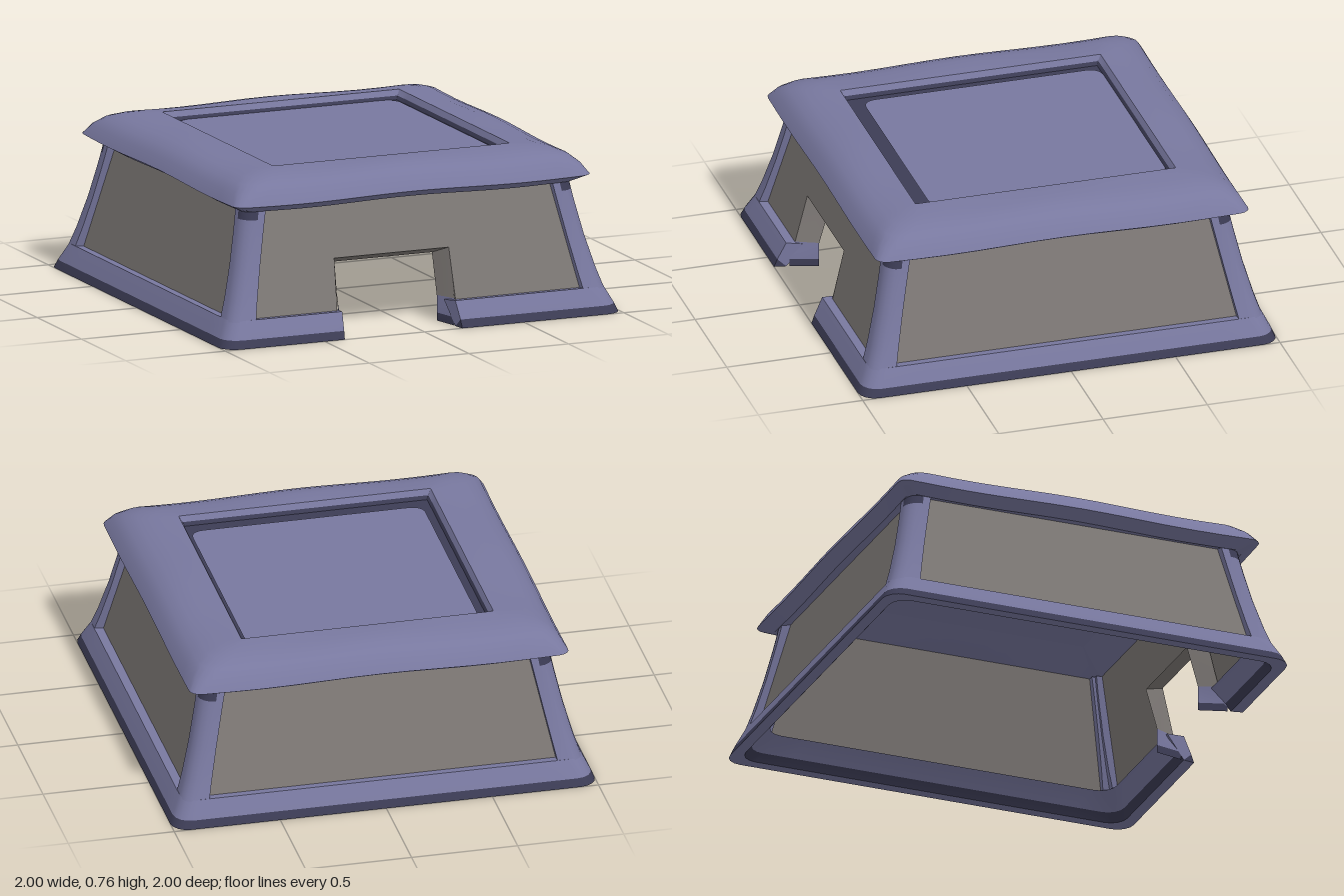
import * as THREE from 'three';
import { toCreasedNormals } from 'three/addons/utils/BufferGeometryUtils.js';

const mat = (name, color) => {
  const m = new THREE.MeshStandardMaterial({ color, side: THREE.DoubleSide });
  m.name = name;
  return m;
};
const frameMat = mat('slate violet', 0x78789f);
const darkMat = mat('dark violet', 0x3c3c55);
const panelMat = mat('warm grey', 0x7f7a77);

const LIGHT = 0, DARK = 1, GREY = 2;
const ARC = 4, SIDE = 12;
const lerp = THREE.MathUtils.lerp;

// height-dependent layout of the walls
const panelZ = (y) => lerp(0.90, 0.785, (y - 0.12) / 0.48);
const panelX = (y) => lerp(0.82, 0.72, (y - 0.12) / 0.48);

// rounded square outline; with a door it starts and ends at the gap in the front
function outline(h, y, r, door = false) {
  const pts = [];
  const taper = (1 - h) * 0.2;
  const x0 = door ? 0.19 - taper : 0, x1 = door ? -0.4 + taper : 0;
  const c = h - r;
  const side = (a, b, n) => {
    for (let i = 0; i < n; i++) pts.push(new THREE.Vector3().lerpVectors(a, b, i / n));
  };
  const corner = (k) => {
    const out = [];
    for (let i = 0; i <= ARC; i++) {
      const t = (i / ARC) * Math.PI / 2;
      out.push(new THREE.Vector3(c + r * Math.sin(t), y, c + r * Math.cos(t))
        .applyAxisAngle(new THREE.Vector3(0, 1, 0), k * Math.PI / 2));
    }
    return out;
  };
  let from = new THREE.Vector3(x0, y, h);
  for (let k = 0; k < 4; k++) {
    const arc = corner(k);
    side(from, arc[0], SIDE);
    pts.push(...arc.slice(0, ARC));
    from = arc[ARC];
  }
  const end = new THREE.Vector3(x1, y, h);
  side(from, end, SIDE);
  pts.push(end);
  return pts;
}

// skins rows of points; paint(row, column) picks the material; caps close the ends
function loft(name, rows, paint, caps = false) {
  const n = rows[0].length;
  const faces = [[], [], []];
  for (let i = 0; i < rows.length - 1; i++) {
    for (let j = 0; j < n - 1; j++) {
      const a = i * n + j, b = a + 1, c = b + n, d = a + n;
      faces[paint(i, j)].push(a, b, c, a, c, d);
    }
  }
  if (caps) {
    for (let i = 1; i < rows.length - 2; i++) {
      const f = faces[i === 1 ? DARK : LIGHT];
      f.push(0, i * n, (i + 1) * n);
      f.push(n - 1, (i + 1) * n + n - 1, i * n + n - 1);
    }
  }
  const geo = new THREE.BufferGeometry().setFromPoints(rows.flat());
  geo.setIndex(faces.flat());
  let start = 0;
  faces.forEach((f, k) => {
    if (f.length) geo.addGroup(start, f.length, k);
    start += f.length;
  });
  const mesh = new THREE.Mesh(toCreasedNormals(geo, 0.6), [frameMat, darkMat, panelMat]);
  mesh.name = name;
  return mesh;
}

// thin sloping wall panel, optionally with a doorway
function wallPanel(name, door) {
  const lo = 0.1, hi = 0.63, t = 0.02;
  const a = panelX(lo) + 0.02, b = panelX(hi) + 0.02;
  const pts = [[-a, lo]];
  if (door) pts.push([-0.395, lo], [-0.385, 0.35], [0.19, 0.35], [0.2, lo]);
  pts.push([a, lo], [b, hi], [-b, hi]);
  const shape = new THREE.Shape(pts.map(([x, y]) => new THREE.Vector2(x, y)));
  const geo = new THREE.ExtrudeGeometry(shape, { depth: t, bevelEnabled: false });
  const p = geo.attributes.position;
  for (let i = 0; i < p.count; i++) p.setZ(i, p.getZ(i) - t + panelZ(p.getY(i)));
  geo.computeVertexNormals();
  const mesh = new THREE.Mesh(geo, panelMat);
  mesh.name = name;
  return mesh;
}

// tapering lining of the doorway, violet at the foot and grey above
function doorLining() {
  const path = [[-0.385, 0], [-0.385, 0.038], [-0.39, 0.12], [-0.385, 0.35],
    [0.19, 0.35], [0.195, 0.12], [0.18, 0.038], [0.18, 0]];
  const front = path.map(([x, y]) => new THREE.Vector3(x, y, panelZ(Math.max(y, 0.12)) + (y < 0.1 ? 0.03 : 0)));
  const back = path.map(([x, y]) => new THREE.Vector3(
    x < 0 ? -0.345 : 0.15, y > 0.3 ? 0.31 : y, panelZ(Math.max(y, 0.12)) - 0.1));
  const colours = [DARK, LIGHT, GREY, GREY, GREY, LIGHT, DARK];
  return loft('doorLining', [front, back], (i, j) => colours[j]);
}

// flared corner post with an L section, rounded outside
function cornerPost(name) {
  const levels = [[0.1, 0.95], [0.2, 0.918], [0.35, 0.878], [0.5, 0.845], [0.56, 0.833], [0.62, 0.822]];
  const rows = levels.map(([y, h]) => {
    const e = panelX(y), q = h - 0.09, r = 0.07, c = h - r;
    const row = [[e, q], [e, h]];
    for (let i = 0; i <= ARC; i++) {
      const t = (i / ARC) * Math.PI / 2;
      row.push([c + r * Math.sin(t), c + r * Math.cos(t)]);
    }
    row.push([h, e], [q, e], [q, q], [e, q]);
    return row.map(([x, z]) => new THREE.Vector3(x, y, z));
  });
  return loft(name, rows, (i, j) => (i === 4 && j >= 2 && j < 2 + ARC ? DARK : LIGHT));
}

export function createModel() {
  const model = new THREE.Group();
  model.name = 'hut';

  // base rail, broken at the doorway
  const rail = [[0.945, 0], [1, 0], [0.985, 0.038], [0.945, 0.12], [0.855, 0.11], [0.92, 0.038], [0.945, 0]];
  model.add(loft('baseRail', rail.map(([h, y]) => outline(h, y, 0.08, true)),
    (i) => (i === 1 || i === 5 ? DARK : LIGHT), true));

  // four walls and posts
  ['front', 'left', 'back', 'right'].forEach((s, k) => {
    const panel = wallPanel(s + 'Panel', k === 0);
    const post = cornerPost(s + 'CornerPost');
    panel.rotation.y = post.rotation.y = k * Math.PI / 2;
    model.add(panel, post);
  });
  model.add(doorLining());

  // roof: ceiling slope, eave, rounded top and the rim of the recess
  const roof = [
    [0.585, 0.69, 0.005], [0.78, 0.612, 0.03], [0.83, 0.6, 0.04], [0.894, 0.636, 0.05],
    [0.865, 0.685, 0.07], [0.825, 0.722, 0.09], [0.775, 0.742, 0.1], [0.71, 0.756, 0.08],
    [0.594, 0.758, 0.005], [0.58, 0.732, 0.005], [0.572, 0.714, 0.005],
  ];
  const roofRows = roof.map(([h, y, r], i) => {
    const row = outline(h, y, r);
    for (const p of row) {
      if (i === 0 || i > 7) p.z *= 1.05;
      else if (i > 1) {
        const along = Math.min(Math.abs(p.x), Math.abs(p.z)) / h;
        p.y += 0.005 * Math.cos(along * Math.PI * 1.6);
      }
    }
    return row;
  });
  model.add(loft('roof', roofRows, (i) => (i === 9 ? DARK : LIGHT)));

  // recessed roof floor: plain slab, dark border and rounded field
  const slab = new THREE.Mesh(new THREE.BoxGeometry(1.18, 0.02, 1.24), frameMat);
  slab.name = 'roofRecessFloor';
  slab.position.y = 0.7;
  const border = new THREE.Mesh(new THREE.BoxGeometry(1.16, 0.004, 1.22), darkMat);
  border.name = 'roofRecessBorder';
  border.position.y = 0.712;

  const x0 = -0.535, x1 = 0.562, z0 = -0.6, z1 = 0.537, r = 0.07;
  const s = new THREE.Shape();
  s.moveTo(x0 + r, -z1);
  s.lineTo(x1 - r, -z1).quadraticCurveTo(x1, -z1, x1, -z1 + r);
  s.lineTo(x1, -z0 - r).quadraticCurveTo(x1, -z0, x1 - r, -z0);
  s.lineTo(x0 + r, -z0).quadraticCurveTo(x0, -z0, x0, -z0 - r);
  s.lineTo(x0, -z1 + r).quadraticCurveTo(x0, -z1, x0 + r, -z1);
  const field = new THREE.Mesh(new THREE.ShapeGeometry(s), frameMat);
  field.name = 'roofRecessField';
  field.rotation.x = -Math.PI / 2;
  field.position.y = 0.718;
  model.add(slab, border, field);

  return model;
}
